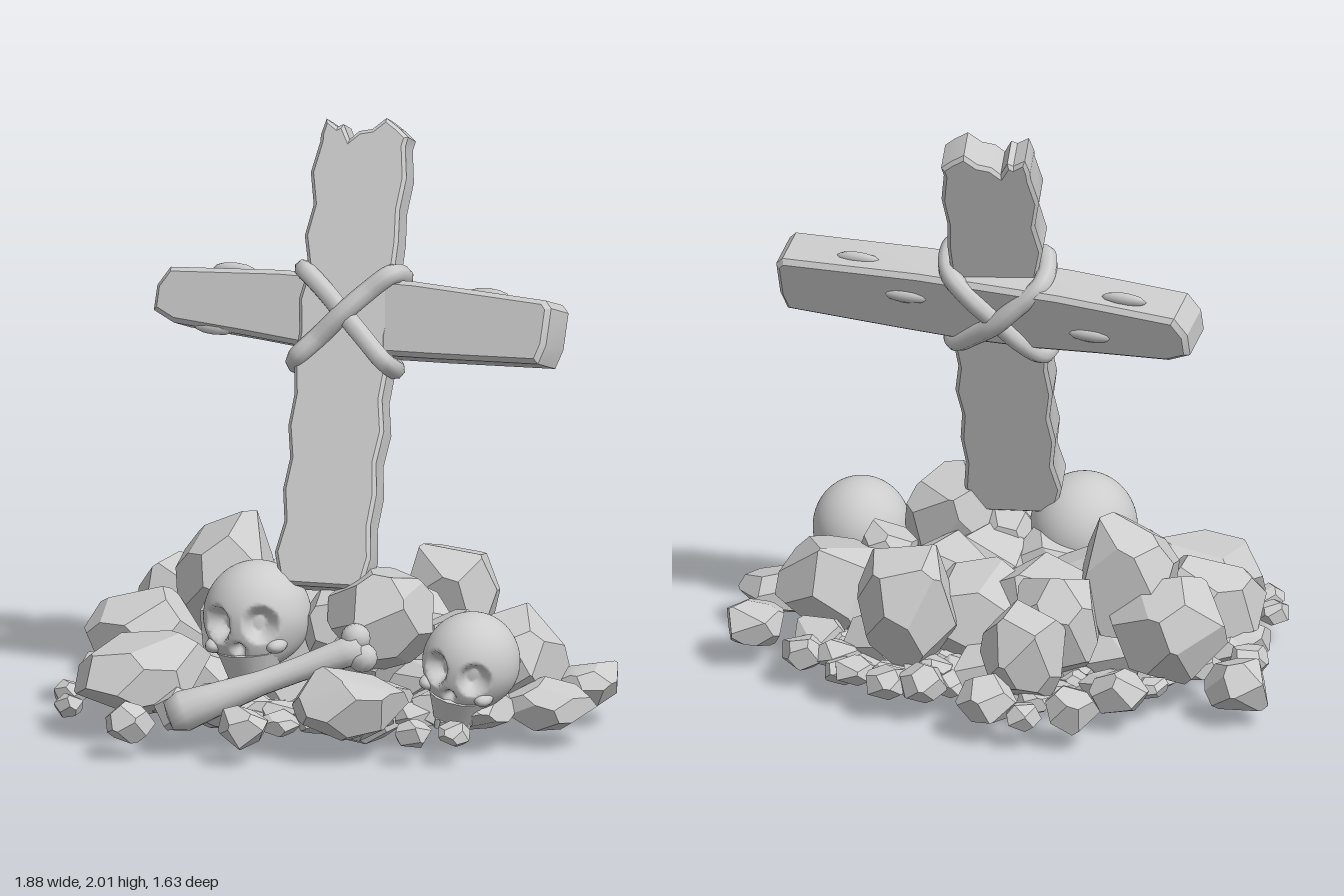
import * as THREE from 'three';
import { ConvexGeometry } from 'three/addons/geometries/ConvexGeometry.js';
import { toCreasedNormals } from 'three/addons/utils/BufferGeometryUtils.js';

const stone = new THREE.MeshStandardMaterial({ color: 0xcccccc });
stone.name = 'paleGrey';
const V = (x, y, z) => new THREE.Vector3(x, y, z);

let seed = 7;
const rand = (a = 0, b = 1) => {
  seed = (seed * 16807) % 2147483647;
  return a + (b - a) * (seed / 2147483647);
};
const smooth = THREE.MathUtils.smoothstep;

function add(parent, name, geometry, position) {
  const mesh = new THREE.Mesh(geometry, stone);
  mesh.name = name;
  if (position) mesh.position.copy(position);
  parent.add(mesh);
  return mesh;
}

// Chiselled stone: the solid enclosed by jittered planes of a rounded block, stretched to its half sizes
function rockGeometry(rx, ry, rz, count) {
  const planes = [];
  const turn = rand(0, 6.28);
  for (let i = 0; i < count; i++) {
    const y = 1 - (2 * i + 1) / count, r = Math.sqrt(1 - y * y), a = turn + i * 2.4;
    const n = V(r * Math.cos(a) + rand(-0.2, 0.2), y + rand(-0.2, 0.2), r * Math.sin(a) + rand(-0.2, 0.2)).normalize();
    const block = 0.6 + 0.3 * (Math.abs(n.x) + Math.abs(n.y) + Math.abs(n.z));
    planes.push({ n, d: block * rand(0.94, 1.05) });
  }
  const corners = [];
  for (let i = 0; i < count; i++) for (let j = i + 1; j < count; j++) for (let k = j + 1; k < count; k++) {
    const [a, b, c] = [planes[i], planes[j], planes[k]];
    const bc = b.n.clone().cross(c.n), det = a.n.dot(bc);
    if (Math.abs(det) < 0.03) continue;
    const p = bc.multiplyScalar(a.d).addScaledVector(c.n.clone().cross(a.n), b.d)
      .addScaledVector(a.n.clone().cross(b.n), c.d).divideScalar(det);
    if (planes.every((q) => q.n.dot(p) <= q.d + 1e-4)) corners.push(p);
  }
  const g = new ConvexGeometry(corners);
  g.center();
  const s = g.boundingBox.getSize(V(0, 0, 0));
  g.scale(2 * rx / s.x, 2 * ry / s.y, 2 * rz / s.z);
  return toCreasedNormals(g, 0.45);
}

// Bevelled plank cut from an outline
function plank(outline, depth, bevel) {
  const g = new THREE.ExtrudeGeometry(new THREE.Shape(outline.map(([x, y]) => new THREE.Vector2(x, y))), {
    depth: depth - 2 * bevel, bevelThickness: bevel, bevelSize: bevel, bevelOffset: -bevel, bevelSegments: 1,
  });
  g.translate(0, 0, bevel - depth / 2);
  return toCreasedNormals(g, 0.4);
}

// Skull: sphere with a drawn-down face, carved sockets and nose, plus cheeks, jaw and teeth
function skull(name, size) {
  const group = new THREE.Group();
  group.name = name;
  const g = new THREE.SphereGeometry(1, 96, 64);
  const p = g.attributes.position, d = V(0, 0, 0);
  const hollows = [[V(0.45, 0.08, 0.88), 0.22, 0.34, 0.34], [V(-0.45, 0.08, 0.88), 0.22, 0.34, 0.34], [V(0, -0.36, 0.93), 0.06, 0.17, 0.2]];
  for (let i = 0; i < p.count; i++) {
    d.fromBufferAttribute(p, i).normalize();
    let r = 1;
    for (const [c, inner, outer, depth] of hollows)
      r -= depth * (1 - smooth(d.distanceTo(c.clone().normalize()), inner, outer));
    const face = smooth(d.z, -0.1, 0.7) * (1 - smooth(d.y, -0.7, 0.1));
    p.setXYZ(i, d.x * r * 0.95 * (1 - 0.12 * face), d.y * r * (d.y < 0 ? 0.88 : 1) - 0.12 * face, d.z * r + 0.06 * face);
  }
  g.computeVertexNormals();
  add(group, 'cranium', g);
  for (const s of [-1, 1]) {
    add(group, 'cheekbone', new THREE.SphereGeometry(0.2, 14, 10), V(s * 0.58, -0.36, 0.62)).scale.set(0.9, 0.7, 1.3);
    for (let i = 0; i < 3; i++)
      add(group, 'tooth', new THREE.CylinderGeometry(0.07, 0.055, 0.2, 7), V(s * (0.08 + i * 0.13), -1.08, 0.84 - i * i * 0.06));
  }
  const jaw = add(group, 'upperJaw', new THREE.CylinderGeometry(0.6, 0.42, 0.55, 14), V(0, -0.76, 0.45));
  jaw.scale.z = 0.95;
  group.scale.setScalar(size);
  return group;
}

function buildCross(model) {
  const cross = new THREE.Group();
  cross.name = 'cross';
  cross.position.set(0.012, 1.36, -0.1);
  model.add(cross);

  // Upright post with chipped edges and a broken top
  const tilted = new THREE.Group();
  tilted.name = 'leaningPost';
  tilted.rotation.set(-0.345, 0, -0.012);
  cross.add(tilted);
  const left = [], right = [];
  for (let i = 0; i <= 14; i++) {
    const y = -0.92 + i * 0.107, w = 0.152 + (i % 2 ? 0.012 : -0.006);
    right.push([w + rand(-0.008, 0.008), y]);
    left.unshift([-w + rand(-0.008, 0.008), y]);
  }
  const top = [[0.16, 0.61], [0.125, 0.64], [0.08, 0.67], [0.035, 0.63], [-0.01, 0.62], [-0.04, 0.59], [-0.065, 0.64], [-0.085, 0.63], [-0.125, 0.655], [-0.14, 0.6]];
  add(tilted, 'post', plank([...right, ...top, ...left], 0.14, 0.012));

  // Crossbar, turned so its left end comes forward
  const bar = new THREE.Group();
  bar.name = 'turnedBar';
  bar.position.z = -0.05;
  bar.rotation.set(-0.32, -0.228, 0, 'YXZ');
  cross.add(bar);
  add(bar, 'crossbar', plank([
    [-0.70, -0.065], [-0.62, -0.1], [-0.36, -0.115], [-0.15, -0.13], [0.1, -0.135], [0.35, -0.125], [0.74, -0.105],
    [0.76, -0.04], [0.76, 0.085], [0.735, 0.11], [0.25, 0.125], [-0.25, 0.115], [-0.66, 0.085], [-0.7, 0.02],
  ], 0.17, 0.016));
  for (const [x, y, z] of [[-0.47, 0.105, -0.03], [0.48, 0.112, -0.02], [-0.47, -0.1, 0.06], [0.3, 0.03, -0.08], [-0.35, -0.03, -0.08]])
    add(bar, 'splinter', new THREE.SphereGeometry(1, 10, 6), V(x, y, z)).scale.set(0.08, 0.025, 0.02);

  // Two rope loops crossing in front and behind
  for (const s of [-1, 1]) {
    const lift = s * 0.01;
    const path = [
      [-0.15, -0.15, 0.085], [-0.08, -0.08, 0.09], [0, 0, 0.095 + lift], [0.08, 0.08, 0.09], [0.15, 0.14, 0.075],
      [0.17, 0.15, 0], [0.155, 0.14, -0.09], [0.08, 0.08, -0.135], [0, 0, -0.145 + lift], [-0.08, -0.08, -0.135], [-0.15, -0.15, -0.1], [-0.17, -0.165, 0],
    ].map(([x, y, z]) => V(s * x, y, z + s * x * 0.15));
    add(tilted, 'rope', new THREE.TubeGeometry(new THREE.CatmullRomCurve3(path, true), 72, 0.034, 8, true));
  }
}

function buildBone(model) {
  const a = V(-0.39, 0.15, 0.65), b = V(0.18, 0.36, 0.47);
  const bone = new THREE.Group();
  bone.name = 'bone';
  bone.position.copy(a).lerp(b, 0.5);
  bone.quaternion.setFromUnitVectors(V(0, 1, 0), b.clone().sub(a).normalize());
  model.add(bone);
  const h = a.distanceTo(b) / 2;
  const profile = [[0, -h - 0.05], [0.05, -h - 0.045], [0.07, -h + 0.01], [0.058, -h + 0.12], [0.042, -0.03], [0.042, 0.1], [0.05, h - 0.06], [0.055, h], [0, h + 0.02]];
  add(bone, 'shaft', new THREE.LatheGeometry(profile.map(([x, y]) => new THREE.Vector2(x, y)), 14));
  for (const side of [-1, 1])
    add(bone, 'knuckle', new THREE.SphereGeometry(0.05, 12, 8), V(side * 0.035, h, 0));
}

export function createModel() {
  const model = new THREE.Group();
  model.name = 'graveMound';
  buildCross(model);

  // Large stones: x, y, z, then half sizes
  const boulders = [
    [-0.6, 0.2, 0.33, 0.22, 0.14, 0.25], [-0.66, 0.25, -0.02, 0.21, 0.17, 0.17], [-0.59, 0.29, -0.35, 0.2, 0.18, 0.17],
    [-0.43, 0.42, -0.22, 0.17, 0.225, 0.18], [-0.22, 0.29, -0.38, 0.14, 0.19, 0.14], [-0.12, 0.25, -0.56, 0.14, 0.17, 0.14],
    [0.29, 0.34, -0.38, 0.17, 0.2, 0.17], [0.2, 0.4, 0.24, 0.18, 0.18, 0.19], [0.16, 0.18, 0.56, 0.2, 0.13, 0.17],
    [0.58, 0.25, 0, 0.2, 0.16, 0.18], [0.78, 0.14, 0.2, 0.155, 0.08, 0.125], [0.84, 0.14, -0.12, 0.1, 0.075, 0.115],
    [0.16, 0.12, 0.34, 0.17, 0.12, 0.15], [0.42, 0.3, 0.12, 0.1, 0.13, 0.11], [0.5, 0.14, 0.3, 0.18, 0.08, 0.17],
    [-0.24, 0.13, 0.5, 0.14, 0.07, 0.1], [0.03, 0.36, 0.2, 0.12, 0.14, 0.1],
  ];
  for (const [x, y, z, rx, ry, rz] of boulders) add(model, 'boulder', rockGeometry(rx, ry, rz, 18), V(x, y, z));

  // Core stones: an upper ring around the post and a lower ring that fills the base
  for (let i = 0; i < 6; i++) {
    const a = i * Math.PI / 3, c = Math.cos(a), s = Math.sin(a);
    add(model, 'coreStone', rockGeometry(0.19, 0.18, 0.17, 16), V(-0.04 + 0.25 * c, 0.26, -0.06 + 0.2 * s));
    add(model, 'baseStone', rockGeometry(0.16, 0.09, 0.14, 16), V(-0.04 + 0.46 * s, 0.15, -0.08 + 0.37 * c));
  }

  // Loose stones lying around the mound: x, z, radius
  const loose = [
    [-0.83, -0.47, 0.11], [-0.31, -0.73, 0.095], [-0.02, -0.7, 0.105], [-0.15, -0.76, 0.06], [-0.55, 0.73, 0.085], [-0.16, 0.72, 0.085],
    [-0.84, -0.2, 0.065], [-0.86, 0.27, 0.055], [-0.83, 0.42, 0.05], [-0.43, 0.52, 0.085], [0.5, -0.43, 0.06], [0.65, -0.3, 0.075],
    [0.6, -0.2, 0.09], [0.22, -0.56, 0.09], [-0.8, -0.07, 0.09], [0.33, -0.56, 0.075], [-0.45, -0.56, 0.1], [0.4, 0.6, 0.06], [0.53, 0.58, 0.055],
  ];
  for (const [x, z, r] of loose)
    add(model, 'looseStone', rockGeometry(r, r * 0.8, r * 0.95, 14), V(x, 0.06 + r * 0.8, z));

  // Bed of pebbles spread in a spiral under and around the boulders
  for (let i = 0; i < 110; i++) {
    const r = Math.sqrt((i + 0.5) / 110), a = i * 2.39996, size = rand(0.055, 0.09), h = size * 0.6;
    add(model, 'pebble', rockGeometry(size, h, size * rand(0.75, 1), 13),
      V(-0.05 + 0.74 * r * Math.cos(a), 0.06 + h + rand(0, 0.02), -0.02 + 0.6 * r * Math.sin(a)));
  }

  // Skulls and bone resting on the front slope
  const first = skull('largeSkull', 0.19);
  first.position.set(-0.225, 0.395, 0.235);
  first.rotation.set(0.05, -0.15, 0.08);
  const second = skull('smallSkull', 0.172);
  second.position.set(0.54, 0.305, 0.365);
  second.rotation.set(0.15, -0.16, -0.2);
  model.add(first, second);
  buildBone(model);
  return model;
}
